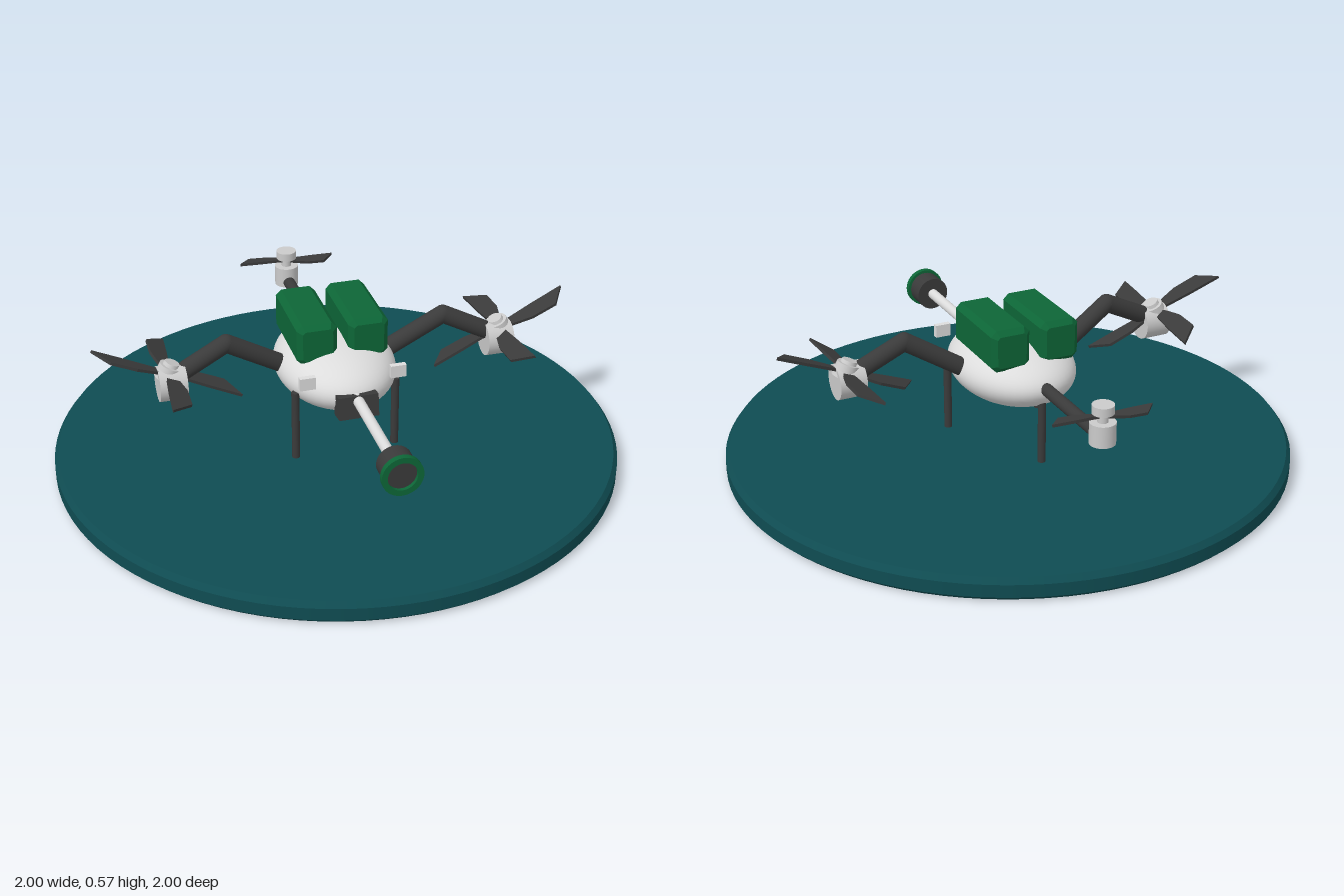
import * as THREE from 'three';

const mat = (name, color, side = THREE.FrontSide) => {
  const m = new THREE.MeshStandardMaterial({ color, side });
  m.name = name;
  return m;
};

export function createModel() {
  const teal = mat('teal', 0x0f4c52);
  const white = mat('shell white', 0xdcdcdc);
  const green = mat('green', 0x0d6637);
  const dark = mat('dark grey', 0x3a3a3a);
  const silver = mat('motor grey', 0xcacaca);
  const model = new THREE.Group();
  model.name = 'drone';

  const add = (parent, name, geometry, material, x = 0, y = 0, z = 0) => {
    const mesh = new THREE.Mesh(geometry, material);
    mesh.name = name;
    mesh.position.set(x, y, z);
    parent.add(mesh);
    return mesh;
  };
  // straight round rod between two points
  const rod = (parent, name, a, b, r, material) => {
    const p = new THREE.Vector3(...a), q = new THREE.Vector3(...b);
    const d = q.clone().sub(p);
    const mesh = add(parent, name, new THREE.CylinderGeometry(r, r, d.length(), 24), material);
    mesh.position.copy(p).add(q).multiplyScalar(0.5);
    mesh.quaternion.setFromUnitVectors(new THREE.Vector3(0, 1, 0), d.normalize());
    return mesh;
  };
  // box with all edges chamfered by c
  const chamferBox = (w, h, d, c) => {
    const x = w / 2 - c, y = h / 2 - c, k = c * 0.5;
    const s = new THREE.Shape([
      [-x + k, -y], [x - k, -y], [x, -y + k], [x, y - k],
      [x - k, y], [-x + k, y], [-x, y - k], [-x, -y + k],
    ].map(p => new THREE.Vector2(...p)));
    const g = new THREE.ExtrudeGeometry(s, {
      depth: d - 2 * c, bevelEnabled: true, bevelSegments: 1, bevelSize: c, bevelThickness: c,
    });
    return g.translate(0, 0, -d / 2 + c);
  };
  // rotor blades with slanted tips, lying flat around y
  const rotor = (parent, count, scale, turn) => {
    const group = new THREE.Group();
    group.name = 'rotor';
    const s = new THREE.Shape([
      [0.0, -0.012], [0.06, -0.03], [0.12, -0.044], [0.215, -0.04],
      [0.27, 0.036], [0.15, 0.026], [0.05, 0.014], [0.0, 0.012],
    ].map(p => new THREE.Vector2(p[0] * scale, p[1] * scale)));
    const g = new THREE.ExtrudeGeometry(s, { depth: 0.01, bevelEnabled: false });
    g.translate(0, 0, -0.005).rotateX(-Math.PI / 2);
    for (let i = 0; i < count; i++) {
      const pivot = new THREE.Group();
      pivot.name = 'bladePivot';
      pivot.rotation.y = turn + i * Math.PI * 2 / count;
      add(pivot, 'blade', g, dark).rotation.x = 0.1;
      group.add(pivot);
    }
    parent.add(group);
    return group;
  };

  // landing pad with bevelled rim
  const rim = [[0, 0], [0.985, 0], [1, 0.015], [1, 0.06], [0.985, 0.08], [0, 0.08]];
  for (let i = 0; i < rim.length - 1; i++) {
    const pts = [rim[i], rim[i + 1]].map(p => new THREE.Vector2(...p));
    add(model, 'landingPad', new THREE.LatheGeometry(pts, 96), teal);
  }

  // egg-shaped hull
  add(model, 'hull', new THREE.SphereGeometry(1, 48, 32), white, 0, 0.357, -0.025)
    .scale.set(0.21, 0.117, 0.28);

  // rear leg
  rod(model, 'rearLeg', [0, 0.08, -0.265], [0, 0.34, -0.265], 0.014, dark);

  for (const side of [-1, 1]) {
    // cargo packs, front legs and sensors
    add(model, 'cargoPack', chamferBox(0.142, 0.15, 0.32, 0.018), green, side * 0.091, 0.495, -0.063);
    rod(model, 'frontLeg', [side * 0.18, 0.08, 0.12], [side * 0.18, 0.34, 0.12], 0.014, dark);
    add(model, 'sensor', new THREE.BoxGeometry(0.055, 0.045, 0.02), white, side * 0.16, 0.42, 0.205);

    // bent arm
    const elbow = [side * 0.39, 0.5, 0];
    rod(model, 'upperArm', [side * 0.17, 0.365, -0.03], elbow, 0.032, dark);
    rod(model, 'forearm', elbow, [side * 0.57, 0.41, 0.015], 0.032, dark);
    add(model, 'elbow', new THREE.SphereGeometry(0.032, 20, 14), dark, ...elbow);

    // motor and tilted four-blade rotor
    add(model, 'motor', new THREE.CylinderGeometry(0.062, 0.062, 0.095, 32), silver, side * 0.588, 0.39, 0.02)
      .rotation.z = Math.PI / 2;
    const head = new THREE.Group();
    head.name = 'rotorHead';
    head.position.set(side * 0.597, 0.425, 0.015);
    head.rotation.z = side * 0.403;
    add(head, 'hub', new THREE.CylinderGeometry(0.04, 0.044, 0.05, 24), silver, 0, 0.005, 0);
    add(head, 'hubCap', new THREE.CylinderGeometry(0.026, 0.03, 0.014, 24), silver, 0, 0.035, 0);
    const blades = rotor(head, 4, 1, 0);
    // opposite side spins the other way
    if (side < 0) blades.rotation.x = Math.PI;
    model.add(head);
  }

  // tail boom with small two-blade rotor
  rod(model, 'tailBoom', [0, 0.367, -0.25], [0, 0.367, -0.69], 0.022, dark);
  add(model, 'tailMotor', new THREE.CylinderGeometry(0.044, 0.044, 0.075, 32), silver, 0, 0.385, -0.685);
  add(model, 'tailShaft', new THREE.CylinderGeometry(0.018, 0.018, 0.05, 16), silver, 0, 0.44, -0.685);
  add(model, 'tailCap', new THREE.CylinderGeometry(0.037, 0.037, 0.03, 32), silver, 0, 0.468, -0.685);
  const tail = rotor(model, 2, 0.66, -0.13);
  tail.position.set(0, 0.443, -0.685);

  // front boom and its mount
  add(model, 'boomMount', new THREE.BoxGeometry(0.14, 0.08, 0.06), dark, 0, 0.338, 0.25).rotation.x = -0.15;
  rod(model, 'frontBoom', [0, 0.362, 0.2], [0, 0.362, 0.68], 0.019, white);

  // gripper cup with green ring
  const cup = new THREE.Group();
  cup.name = 'gripper';
  cup.position.set(0, 0.362, 0.7);
  add(cup, 'cup', new THREE.CylinderGeometry(0.06, 0.06, 0.08, 32), dark).rotation.x = Math.PI / 2;
  const ring = new THREE.Shape().absarc(0, 0, 0.07, 0, Math.PI * 2);
  ring.holes.push(new THREE.Path().absarc(0, 0, 0.05, 0, Math.PI * 2, true));
  add(cup, 'cupRing', new THREE.ExtrudeGeometry(ring, { depth: 0.02, bevelEnabled: false, curveSegments: 32 }),
    green, 0, 0, 0.033);
  model.add(cup);
  return model;
}
